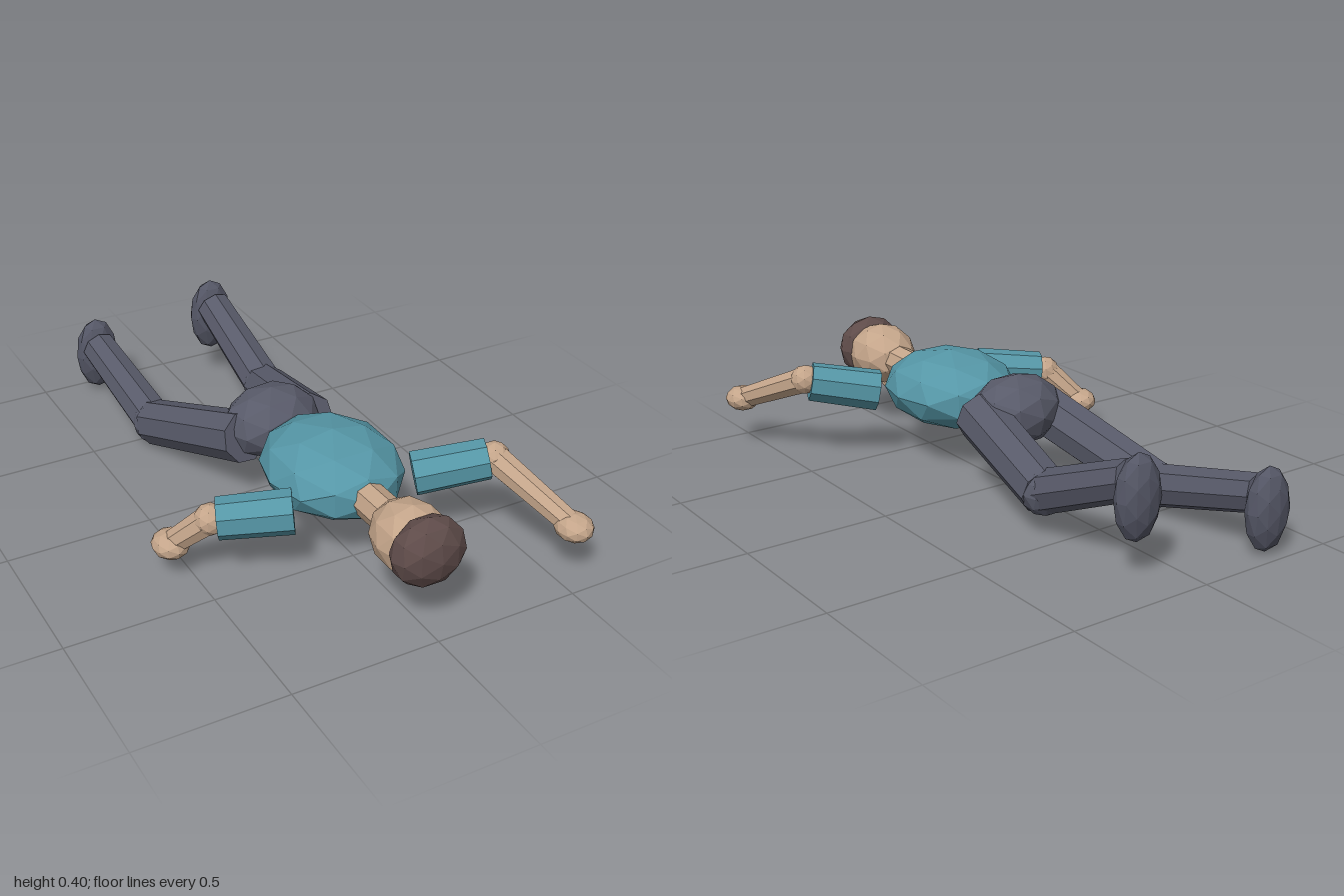
import * as THREE from 'three';

const paint = (name, color) => {
  const m = new THREE.MeshStandardMaterial({ color, flatShading: true });
  m.name = name;
  return m;
};

export function createModel() {
  const shirt = paint('teal shirt', 0x5596a6);
  const skin = paint('skin', 0xc4a58a);
  const hair = paint('brown hair', 0x5e4b49);
  const trousers = paint('grey trousers', 0x585a69);
  const shoes = paint('grey shoes', 0x545665);
  const dark = paint('dark eyes', 0x2c2626);

  const model = new THREE.Group();
  model.name = 'lyingFigure';

  // Faceted ellipsoid
  const blob = (name, mat, pos, radii, yaw = 0, parent = model) => {
    const m = new THREE.Mesh(new THREE.IcosahedronGeometry(1, 1), mat);
    m.name = name;
    m.position.set(...pos);
    m.scale.set(...radii);
    m.rotation.y = yaw;
    parent.add(m);
  };

  // Eight-sided tapered limb segment between two points
  const limb = (name, mat, from, to, r0, r1, parent = model) => {
    const a = new THREE.Vector3(...from), b = new THREE.Vector3(...to);
    const d = b.clone().sub(a);
    const m = new THREE.Mesh(new THREE.CylinderGeometry(r1, r0, d.length(), 8), mat);
    m.name = name;
    m.position.copy(a).add(b).multiplyScalar(0.5);
    m.quaternion.setFromUnitVectors(new THREE.Vector3(0, 1, 0), d.normalize());
    parent.add(m);
  };

  // Body
  blob('torso', shirt, [0, 0.268, 0.35], [0.226, 0.137, 0.268]);
  blob('pelvis', trousers, [-0.035, 0.27, 0], [0.175, 0.125, 0.14], 0.12);

  // Head, face down
  limb('neck', skin, [0, 0.27, 0.55], [0, 0.275, 0.73], 0.06, 0.06);
  blob('head', skin, [0, 0.277, 0.825], [0.12, 0.115, 0.15]);
  blob('hair', hair, [0, 0.285, 0.915], [0.127, 0.117, 0.083]);
  blob('nose', skin, [0, 0.165, 0.80], [0.016, 0.016, 0.02]);
  for (const s of [-1, 1]) {
    blob(s > 0 ? 'leftEye' : 'rightEye', dark, [s * 0.043, 0.172, 0.83], [0.013, 0.0045, 0.013]);
  }

  // Arms
  const arms = [
    { name: 'leftArm', shoulder: [0.217, 0.255, 0.5], cuff: [0.434, 0.302, 0.6],
      elbow: [0.45, 0.31, 0.61], hand: [0.557, 0.183, 0.905] },
    { name: 'rightArm', shoulder: [-0.228, 0.256, 0.51], cuff: [-0.44, 0.234, 0.405],
      elbow: [-0.46, 0.232, 0.395], hand: [-0.557, 0.117, 0.305] },
  ];
  for (const a of arms) {
    const g = new THREE.Group();
    g.name = a.name;
    limb('sleeve', shirt, a.shoulder, a.cuff, 0.074, 0.069, g);
    blob('elbow', skin, a.elbow, [0.053, 0.053, 0.053], 0, g);
    limb('forearm', skin, a.elbow, a.hand, 0.049, 0.04, g);
    blob('hand', skin, a.hand, [0.062, 0.046, 0.068], 0, g);
    model.add(g);
  }

  // Legs, bent up at the knee with the soles turned back
  const legs = [
    { name: 'leftLeg', hip: [0.088, 0.26, 0.04], knee: [0.157, 0.148, -0.415],
      ankle: [0.141, 0.312, -0.81], foot: [0.141, 0.265, -0.84] },
    { name: 'rightLeg', hip: [-0.155, 0.255, 0.04], knee: [-0.27, 0.085, -0.465],
      ankle: [-0.3, 0.195, -0.91], foot: [-0.297, 0.155, -0.944] },
  ];
  for (const l of legs) {
    const g = new THREE.Group();
    g.name = l.name;
    limb('thigh', trousers, l.hip, l.knee, 0.09, 0.083, g);
    blob('knee', trousers, l.knee, [0.08, 0.08, 0.08], 0, g);
    limb('shin', trousers, l.knee, l.ankle, 0.074, 0.065, g);
    blob('foot', shoes, l.foot, [0.082, 0.143, 0.056], 0, g);
    model.add(g);
  }
  return model;
}
